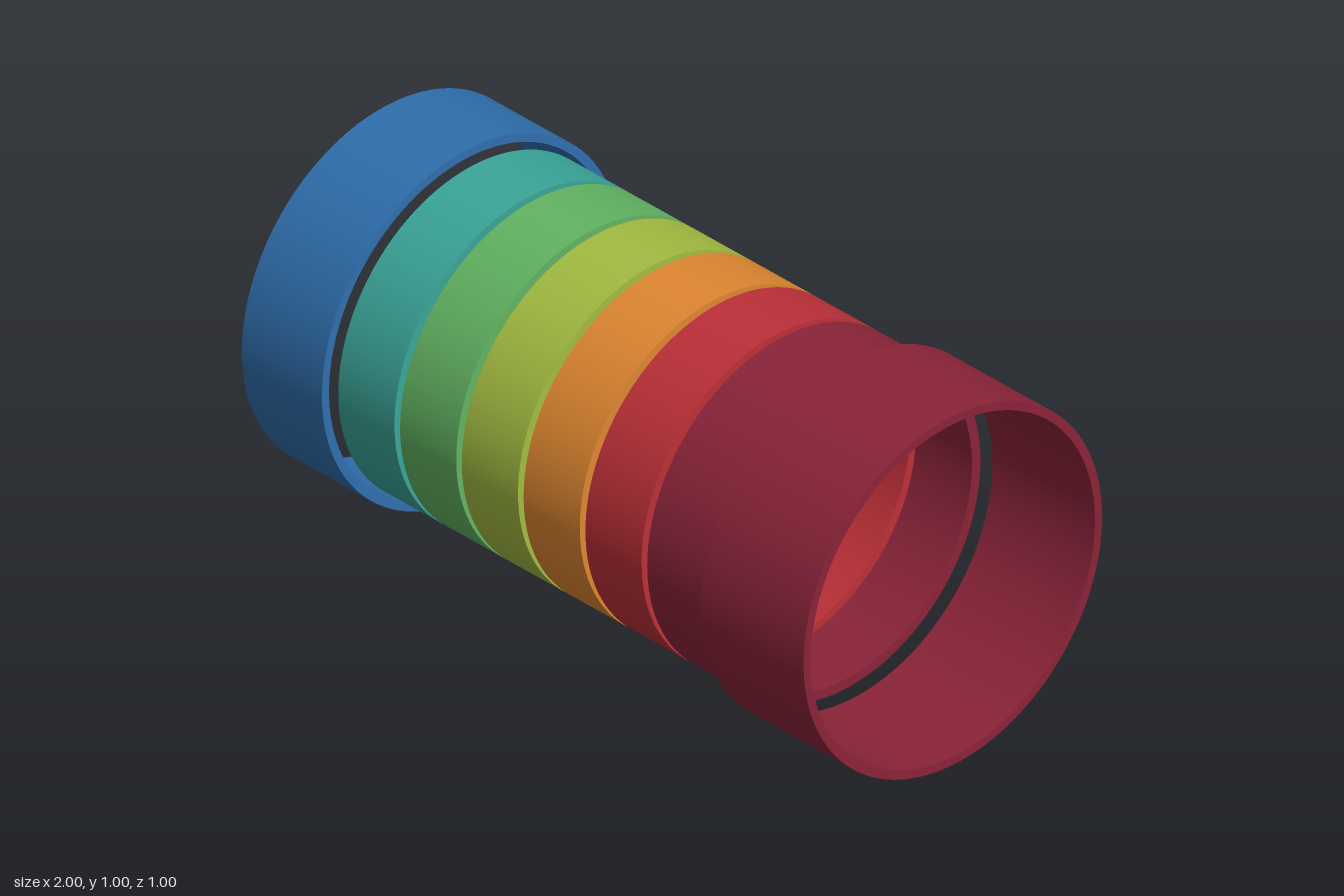
import * as THREE from 'three';
import { toCreasedNormals } from 'three/addons/utils/BufferGeometryUtils.js';

const AXIS_HEIGHT = 0.5;

// Hollow ring lying along x from x0 to x1, smooth walls and sharp rims
function ringGeometry(outer, inner, x0, x1) {
  const shape = new THREE.Shape().absarc(0, 0, outer, 0, Math.PI * 2, false);
  shape.holes.push(new THREE.Path().absarc(0, 0, inner, 0, Math.PI * 2, true));
  const geometry = new THREE.ExtrudeGeometry(shape, {
    depth: x1 - x0, bevelEnabled: false, curveSegments: 96,
  });
  geometry.rotateY(Math.PI / 2);
  geometry.translate(x0, AXIS_HEIGHT, 0);
  return toCreasedNormals(geometry, 0.6);
}

function material(name, color) {
  const m = new THREE.MeshStandardMaterial({ color });
  m.name = name;
  return m;
}

export function createModel() {
  const model = new THREE.Group();
  model.name = 'ringTube';

  const blue = material('blue', 0x2f6fae);
  const maroon = material('maroon', 0x8c2439);
  const bandMaterials = [
    material('teal', 0x3aa699),
    material('green', 0x62b462),
    material('lime', 0xa3bc41),
    material('orange', 0xdf8730),
    material('red', 0xbd3038),
    maroon,
  ];

  const addRing = (name, mat, outer, inner, x0, x1) => {
    const mesh = new THREE.Mesh(ringGeometry(outer, inner, x0, x1), mat);
    mesh.name = name;
    model.add(mesh);
  };

  // Wide end collars
  addRing('rightCollar', blue, 0.5, 0.476, -1, -0.715);
  addRing('leftCollar', maroon, 0.5, 0.476, 0.635, 1);

  // Six evenly spaced narrow bands between the collars
  bandMaterials.forEach((mat, i) => {
    const x0 = -0.695 + i * 0.22;
    addRing(`${mat.name}Band`, mat, 0.464, 0.436, x0, x0 + 0.2);
  });

  return model;
}
